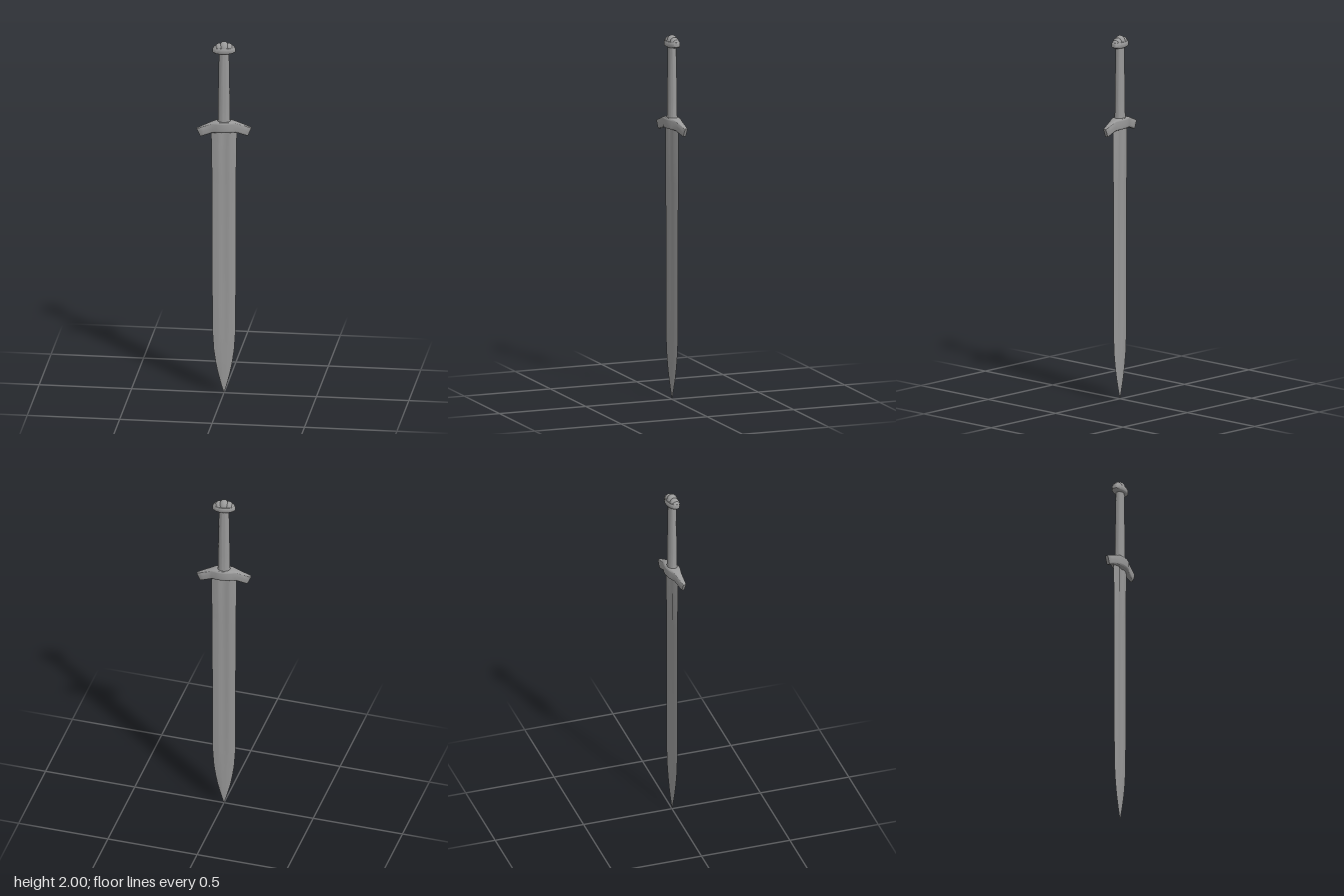
import * as THREE from 'three';
import { toCreasedNormals } from 'three/addons/utils/BufferGeometryUtils.js';

const material = new THREE.MeshStandardMaterial({ color: 0x999999 });

// Skin a list of equal-length rings (counterclockwise seen from the far end) and cap both ends.
function loft(rings, crease = 0.7) {
  const n = rings[0].length, pos = [], index = [];
  rings.forEach((ring) => ring.forEach((p) => pos.push(p.x, p.y, p.z)));
  for (let i = 0; i < rings.length - 1; i++) {
    for (let j = 0; j < n; j++) {
      const k = (j + 1) % n;
      const a = i * n + j, b = i * n + k, c = a + n, d = b + n;
      index.push(a, b, d, a, d, c);
    }
  }
  [0, rings.length - 1].forEach((i) => {
    const mid = new THREE.Vector3();
    rings[i].forEach((p) => mid.addScaledVector(p, 1 / n));
    const m = pos.length / 3;
    pos.push(mid.x, mid.y, mid.z);
    for (let j = 0; j < n; j++) {
      const a = i * n + j, b = i * n + ((j + 1) % n);
      if (i) index.push(m, a, b); else index.push(m, b, a);
    }
  });
  const geo = new THREE.BufferGeometry();
  geo.setAttribute('position', new THREE.Float32BufferAttribute(pos, 3));
  geo.setIndex(index);
  return toCreasedNormals(geo, crease);
}

// Unit superellipse point; a lower power is boxier.
function roundPoint(t, power) {
  const f = (v) => Math.sign(v) * Math.abs(v) ** power;
  return [f(Math.cos(t)), f(Math.sin(t))];
}

// Horizontal oval ring.
function oval(y, rx, rz, n = 32) {
  return Array.from({ length: n }, (_, j) => {
    const t = (j / n) * Math.PI * 2;
    return new THREE.Vector3(rx * Math.cos(t), y, -rz * Math.sin(t));
  });
}

function makeBlade() {
  // height, half width and half thickness from the tip up
  const stations = [
    [0.003, 0.0005, 0.0005], [0.03, 0.009, 0.0015], [0.07, 0.02, 0.0025], [0.12, 0.033, 0.0035],
    [0.18, 0.045, 0.0045], [0.25, 0.055, 0.005], [0.34, 0.061, 0.0055], [0.5, 0.063, 0.006],
    [1.18, 0.064, 0.0065], [1.22, 0.0645, 0.0085], [1.4, 0.068, 0.0105], [1.51, 0.069, 0.0115],
  ];
  return loft(stations.map(([y, w, t]) => {
    // shallow central groove that fades out near the tip
    const groove = t * (1 - 0.45 * THREE.MathUtils.smoothstep(y, 0.2, 0.45));
    const face = [[0.75, t * 0.5], [0.5, t * 0.9], [0.38, t], [0.2, groove * 1.12], [0, groove],
      [-0.2, groove * 1.12], [-0.38, t], [-0.5, t * 0.9], [-0.75, t * 0.5]];
    const half = (s) => [[s, 0], ...face.map(([x, z]) => [x * s, z * s])];
    return [...half(1), ...half(-1)].map(([x, z]) => new THREE.Vector3(x * w, y, -z));
  }), 0.6);
}

function makeGuard() {
  // lower x, lower y, upper x, upper y, half depth
  const side = [
    [0.02, 1.488, 0.02, 1.55, 0.035], [0.042, 1.488, 0.043, 1.549, 0.03],
    [0.062, 1.487, 0.066, 1.543, 0.021], [0.08, 1.481, 0.088, 1.534, 0.018],
    [0.105, 1.472, 0.118, 1.522, 0.0145], [0.124, 1.465, 0.143, 1.511, 0.011],
    [0.127, 1.464, 0.147, 1.509, 0.008],
  ];
  const mirrored = side.map(([a, b, c, d, e]) => [-a, b, -c, d, e]).reverse();
  return loft([...mirrored, [0, 1.488, 0, 1.55, 0.036], ...side].map(([x0, y0, x1, y1, hz]) =>
    Array.from({ length: 32 }, (_, j) => {
      const [c, s] = roundPoint((j / 32) * Math.PI * 2, 0.32);
      return new THREE.Vector3((x0 + x1 + (x1 - x0) * c) / 2, (y0 + y1 + (y1 - y0) * c) / 2, hz * s);
    })));
}

export function createModel() {
  const sword = new THREE.Group();
  sword.name = 'sword';
  const add = (name, geometry, parent = sword) => {
    const mesh = new THREE.Mesh(geometry, material);
    mesh.name = name;
    parent.add(mesh);
    return mesh;
  };

  add('blade', makeBlade());
  add('crossguard', makeGuard());

  // Grip, slightly narrower toward the pommel
  add('grip', loft([
    oval(1.53, 0.036, 0.028), oval(1.56, 0.033, 0.026), oval(1.65, 0.032, 0.025),
    oval(1.8, 0.03, 0.023), oval(1.945, 0.027, 0.021),
  ]));

  // Pommel: oval plate with a row of lobes on top
  const pommel = new THREE.Group();
  pommel.name = 'pommel';
  sword.add(pommel);
  add('pommelPlate', loft([
    oval(1.934, 0.042, 0.025), oval(1.938, 0.056, 0.031), oval(1.943, 0.062, 0.034),
    oval(1.962, 0.062, 0.034), oval(1.967, 0.058, 0.031), oval(1.968, 0.05, 0.027),
  ]), pommel);
  // x offset, top height, half width, half depth
  [[0, 2.0, 0.028, 0.03], [0.026, 1.99, 0.023, 0.026], [0.042, 1.979, 0.015, 0.02]].forEach(
    ([x, top, rx, rz]) => (x ? [-1, 1] : [1]).forEach((s) => {
      const lobe = add('pommelLobe', new THREE.SphereGeometry(1, 24, 16), pommel);
      lobe.scale.set(rx, top - 1.962, rz);
      lobe.position.set(s * x, 1.962, 0);
    }));

  // The sword is turned slightly about its long axis
  sword.rotation.y = 0.165;
  const model = new THREE.Group();
  model.add(sword);
  return model;
}
